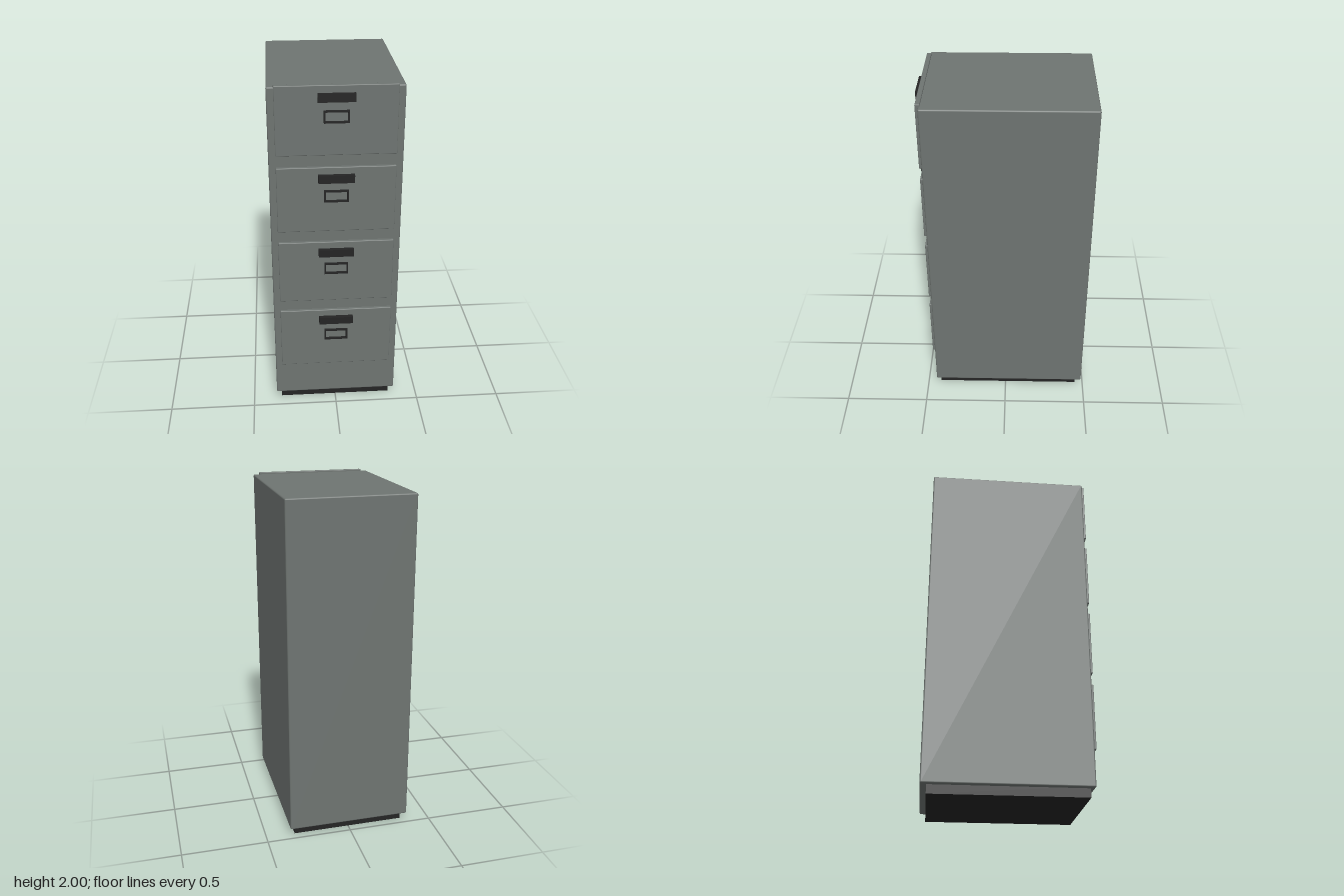
import * as THREE from 'three';
import { RoundedBoxGeometry } from 'three/addons/geometries/RoundedBoxGeometry.js';

export function createModel() {
  const model = new THREE.Group();
  model.name = 'filingCabinet';

  const greyMetal = new THREE.MeshStandardMaterial({ color: 0x6e7471 });
  greyMetal.name = 'grey metal';
  const blackMetal = new THREE.MeshStandardMaterial({ color: 0x242424 });
  blackMetal.name = 'black metal';

  const add = (parent, name, geometry, material, x, y, z) => {
    const mesh = new THREE.Mesh(geometry, material);
    mesh.name = name;
    mesh.position.set(x, y, z);
    parent.add(mesh);
    return mesh;
  };

  // Cabinet shell on a recessed plinth
  add(model, 'cabinetBody', new RoundedBoxGeometry(0.72, 1.94, 0.93, 2, 0.008), greyMetal, 0, 1.02, -0.021);
  add(model, 'plinth', new THREE.BoxGeometry(0.66, 0.06, 0.87), blackMetal, 0, 0.03, -0.016);

  // Rectangular path helper for the label frame
  const rect = (path, w, h) => {
    path.moveTo(-w / 2, -h / 2);
    path.lineTo(w / 2, -h / 2);
    path.lineTo(w / 2, h / 2);
    path.lineTo(-w / 2, h / 2);
    path.closePath();
    return path;
  };
  const frameShape = rect(new THREE.Shape(), 0.134, 0.068);
  frameShape.holes.push(rect(new THREE.Path(), 0.116, 0.05));

  const frontGeometry = new RoundedBoxGeometry(0.644, 0.381, 0.026, 2, 0.004);
  const handleGeometry = new THREE.BoxGeometry(0.196, 0.044, 0.026);
  const frameGeometry = new THREE.ExtrudeGeometry(frameShape, { depth: 0.014, bevelEnabled: false });

  // Four identical drawers, each with a pull and a label frame
  for (let i = 0; i < 4; i++) {
    const drawer = new THREE.Group();
    drawer.name = `drawer${i + 1}`;
    drawer.position.y = 2 - i * 0.45;
    add(drawer, 'drawerFront', frontGeometry, greyMetal, 0, -0.1905, 0.449);
    add(drawer, 'handle', handleGeometry, blackMetal, 0, -0.062, 0.473);
    add(drawer, 'labelFrame', frameGeometry, blackMetal, 0, -0.166, 0.461);
    model.add(drawer);
  }

  return model;
}
